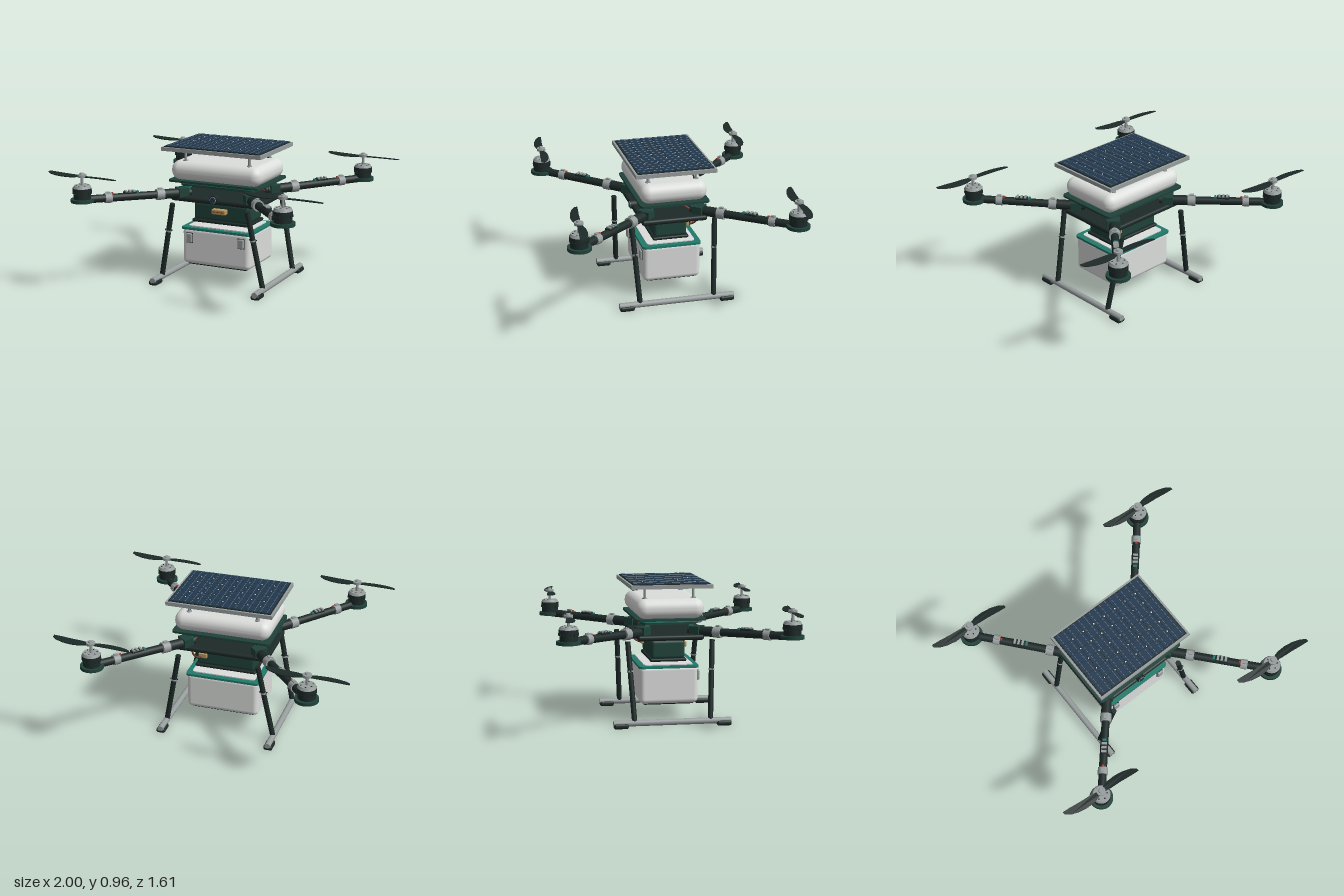
import * as THREE from 'three';
import { RoundedBoxGeometry } from 'three/addons/geometries/RoundedBoxGeometry.js';

const mat = (name, color) => Object.assign(new THREE.MeshStandardMaterial({ color }), { name });

export function createModel() {
  const carbon = mat('carbon black', 0x1d2a28), green = mat('dark green', 0x20423a);
  const teal = mat('teal', 0x217a6b), white = mat('shell white', 0xdcdedc);
  const grey = mat('metal grey', 0x979d9d), tan = mat('brass tan', 0xb8955c);
  const navy = mat('cell navy', 0x22384e), red = mat('signal red', 0xb8342c);
  const copper = mat('cable brown', 0x74392c);
  const model = new THREE.Group();
  model.name = 'deliveryDrone';

  const V = (x, y, z) => new THREE.Vector3(x, y, z);
  const add = (parent, name, geo, m, x = 0, y = 0, z = 0) => {
    const mesh = new THREE.Mesh(geo, m);
    mesh.name = name;
    mesh.position.set(x, y, z);
    parent.add(mesh);
    return mesh;
  };
  const box = (p, name, m, w, h, d, x, y, z) => add(p, name, new THREE.BoxGeometry(w, h, d), m, x, y, z);
  const soft = (p, name, m, w, h, d, r, x, y, z) =>
    add(p, name, new RoundedBoxGeometry(w, h, d, 5, r), m, x, y, z);
  const disc = (p, name, m, r, h, x, y, z, r2 = r, n = 32) =>
    add(p, name, new THREE.CylinderGeometry(r2, r, h, n), m, x, y, z);
  const rod = (p, name, m, a, b, r, n = 20) => {
    const d = b.clone().sub(a), mid = a.clone().add(b).multiplyScalar(0.5);
    const mesh = add(p, name, new THREE.CylinderGeometry(r, r, d.length(), n), m, mid.x, mid.y, mid.z);
    mesh.quaternion.setFromUnitVectors(V(0, 1, 0), d.normalize());
    return mesh;
  };
  const cable = (name, m, pts, r) => add(model, name,
    new THREE.TubeGeometry(new THREE.CatmullRomCurve3(pts.map(p => V(...p))), 24, r, 8), m);
  const group = (name, parent = model) => {
    const g = new THREE.Group();
    g.name = name;
    parent.add(g);
    return g;
  };
  // Flat plate with rounded plan corners, centred on y
  const plate = (p, name, m, w, h, d, r, y) => {
    const s = new THREE.Shape(), a = w / 2, b = d / 2;
    s.moveTo(-a + r, -b).lineTo(a - r, -b).quadraticCurveTo(a, -b, a, -b + r);
    s.lineTo(a, b - r).quadraticCurveTo(a, b, a - r, b).lineTo(-a + r, b);
    s.quadraticCurveTo(-a, b, -a, b - r).lineTo(-a, -b + r).quadraticCurveTo(-a, -b, -a + r, -b);
    const g = new THREE.ExtrudeGeometry(s, { depth: h, bevelEnabled: false, curveSegments: 6 });
    return add(p, name, g.rotateX(-Math.PI / 2).translate(0, -h / 2, 0), m, 0, y, 0);
  };

  // Fuselage shell and decks
  const body = group('fuselage');
  soft(body, 'upperShell', white, 0.675, 0.135, 0.46, 0.064, 0, 0.785, 0);
  plate(body, 'upperDeck', green, 0.69, 0.014, 0.475, 0.03, 0.715);
  plate(body, 'tealSeam', teal, 0.56, 0.006, 0.375, 0.03, 0.694);
  plate(body, 'middleDeck', green, 0.55, 0.016, 0.365, 0.03, 0.683);
  soft(body, 'lowerDeck', carbon, 0.66, 0.036, 0.45, 0.016, 0, 0.592, 0);

  // Nose camera
  const cam = group('noseCamera');
  rod(cam, 'cameraBarrel', carbon, V(0, 0.61, 0.19), V(0, 0.61, 0.235), 0.03);
  rod(cam, 'cameraRing', grey, V(0, 0.61, 0.22), V(0, 0.61, 0.238), 0.023);
  rod(cam, 'cameraLens', navy, V(0, 0.61, 0.23), V(0, 0.61, 0.242), 0.019);

  // Battery with tray and connectors
  const battery = group('battery');
  soft(battery, 'batteryPack', green, 0.415, 0.13, 0.23, 0.022, 0, 0.495, 0);
  soft(battery, 'batteryTray', carbon, 0.435, 0.022, 0.25, 0.01, 0, 0.425, 0);
  soft(battery, 'frontConnector', tan, 0.105, 0.036, 0.045, 0.007, 0, 0.507, 0.133);
  for (const x of [-0.03, 0, 0.03]) box(battery, 'connectorSlot', copper, 0.02, 0.006, 0.004, x, 0.507, 0.156);
  soft(battery, 'rearConnector', tan, 0.06, 0.036, 0.022, 0.006, 0.16, 0.507, -0.125);
  cable('powerCable', copper, [[0.17, 0.495, -0.13], [0.19, 0.51, -0.165], [0.21, 0.55, -0.19], [0.21, 0.6, -0.185]], 0.007);
  cable('deckCable', copper, [[0.18, 0.665, -0.07], [0.2, 0.645, -0.1], [0.22, 0.62, -0.14]], 0.006);

  // Cargo box
  const cargo = group('cargoBox');
  soft(cargo, 'cargoShell', white, 0.51, 0.26, 0.4, 0.032, 0, 0.26, 0);
  plate(cargo, 'cargoRim', teal, 0.525, 0.016, 0.41, 0.03, 0.383);
  plate(cargo, 'cargoLid', white, 0.45, 0.008, 0.335, 0.025, 0.394);
  soft(cargo, 'cargoSkid', carbon, 0.45, 0.026, 0.35, 0.012, 0, 0.134, 0);
  for (const s of [-1, 1]) {
    soft(cargo, 'cargoLatch', grey, 0.044, 0.066, 0.022, 0.008, s * 0.195, 0.318, 0.206);
    box(cargo, 'latchEdge', carbon, 0.05, 0.072, 0.006, s * 0.195, 0.318, 0.2);
  }

  // Solar panel on four posts
  const solar = group('solarPanel');
  box(solar, 'panelFrame', grey, 0.74, 0.026, 0.55, 0, 0.94, 0);
  box(solar, 'panelBacking', carbon, 0.71, 0.006, 0.52, 0, 0.955, 0);
  const cols = 8, rows = 6, cw = 0.7 / cols, cd = 0.51 / rows;
  const hx = cw / 2 - 0.0015, hz = cd / 2 - 0.0015, c = 0.009;
  const cellShape = new THREE.Shape([[-hx + c, -hz], [hx - c, -hz], [hx, -hz + c], [hx, hz - c],
    [hx - c, hz], [-hx + c, hz], [-hx, hz - c], [-hx, -hz + c]].map(p => new THREE.Vector2(...p)));
  const cellGeo = new THREE.ExtrudeGeometry(cellShape, { depth: 0.004, bevelEnabled: false }).rotateX(-Math.PI / 2);
  const gem = new THREE.CylinderGeometry(0.006, 0.006, 0.003, 4);
  for (let i = 0; i < cols; i++) for (let j = 0; j < rows; j++) {
    const x = (i + 0.5) * cw - 0.35, z = (j + 0.5) * cd - 0.255;
    add(solar, 'solarCell', cellGeo, navy, x, 0.958, z);
    if (i && j) add(solar, 'cellContact', gem, white, x - cw / 2, 0.9595, z - cd / 2);
  }
  for (let i = 0; i < cols; i++) for (const o of [-0.25, 0.25])
    box(solar, 'busbar', grey, 0.0014, 0.001, 0.51, (i + 0.5 + o) * cw - 0.35, 0.9623, 0);
  for (const sx of [-1, 1]) for (const sz of [-1, 1]) {
    rod(solar, 'panelPost', grey, V(sx * 0.24, 0.83, sz * 0.165), V(sx * 0.24, 0.93, sz * 0.165), 0.009);
    disc(solar, 'postFoot', grey, 0.018, 0.01, sx * 0.24, 0.851, sz * 0.165);
  }
  box(solar, 'junctionBox', carbon, 0.065, 0.018, 0.045, 0, 0.908, -0.165);
  box(solar, 'junctionMount', carbon, 0.03, 0.016, 0.02, 0, 0.921, -0.165);
  cable('panelCable', carbon, [[0.02, 0.908, -0.165], [0.14, 0.922, -0.165], [0.2, 0.91, -0.16],
    [0.235, 0.87, -0.15], [0.24, 0.84, -0.15]], 0.005);

  // Two-bladed propeller outline, symmetric about the hub
  const half = [[0.02, -0.016], [0.07, -0.03], [0.13, -0.031], [0.19, -0.021], [0.245, -0.001],
    [0.276, 0.023], [0.276, 0.042], [0.22, 0.037], [0.14, 0.027], [0.07, 0.022], [0.02, 0.014]];
  const outline = half.concat(half.map(([x, z]) => [-x, -z]));
  const bladeGeo = new THREE.ExtrudeGeometry(new THREE.Shape(outline.map(([x, z]) => new THREE.Vector2(x, -z))),
    { depth: 0.005, bevelEnabled: false }).rotateX(-Math.PI / 2);
  // Pitch the blades by their side of the hub
  const bp = bladeGeo.attributes.position;
  for (let i = 0; i < bp.count; i++) {
    const side = THREE.MathUtils.clamp(bp.getX(i) / 0.08, -1, 1);
    bp.setY(i, bp.getY(i) + bp.getZ(i) * side * 0.14);
  }
  bladeGeo.computeVertexNormals();

  // Arms, motors and propellers
  for (const sx of [-1, 1]) for (const sz of [-1, 1]) {
    const arm = group(`${sz > 0 ? 'front' : 'rear'}${sx > 0 ? 'Left' : 'Right'}Arm`);
    const a = V(sx * 0.218, 0.625, sz * 0.14), b = V(sx * 0.725, 0.645, sz * 0.725);
    const at = t => a.clone().lerp(b, t), yaw = Math.atan2(b.x - a.x, b.z - a.z);
    rod(arm, 'armTube', carbon, a, at(0.97), 0.027);
    rod(arm, 'armSleeve', carbon, at(0.02), at(0.27), 0.034);
    for (const [t, r, w] of [[0.29, 0.038, 0.035], [0.77, 0.034, 0.03]]) {
      rod(arm, 'armCollar', grey, at(t - w), at(t + w), r);
      const q = at(t);
      box(arm, 'collarLug', grey, 0.02, 0.016, 0.03, q.x, q.y + r, q.z).rotation.y = yaw;
    }
    box(arm, 'rootClamp', green, 0.09, 0.06, 0.07, sx * 0.26, 0.633, sz * 0.185).rotation.y = yaw;
    box(arm, 'rootTab', teal, 0.03, 0.035, 0.03, sx * 0.235, 0.65, sz * 0.15);
    // Speed controller and status light
    const e = at(0.57), l = at(0.73);
    soft(arm, 'controllerBase', carbon, 0.042, 0.014, 0.085, 0.005, e.x, e.y + 0.029, e.z).rotation.y = yaw;
    for (const t of [0.535, 0.57, 0.605]) {
      const f = at(t);
      box(arm, 'controllerFin', grey, 0.036, 0.012, 0.015, f.x, f.y + 0.037, f.z).rotation.y = yaw;
    }
    const k = at(0.5);
    box(arm, 'controllerPlug', teal, 0.026, 0.012, 0.016, k.x, k.y + 0.03, k.z).rotation.y = yaw;
    disc(arm, 'statusLight', red, 0.01, 0.014, l.x, l.y + 0.029, l.z, 0.007, 12);
    // Motor
    const { x, z } = b;
    disc(arm, 'motorMount', green, 0.078, 0.022, x, 0.641, z);
    disc(arm, 'motorStator', carbon, 0.058, 0.05, x, 0.677, z);
    disc(arm, 'motorBell', carbon, 0.063, 0.026, x, 0.713, z);
    for (let i = 0; i < 14; i++) {
      const w = i / 14 * Math.PI * 2;
      box(arm, 'bellTooth', carbon, 0.012, 0.016, 0.008, x + Math.sin(w) * 0.06, 0.696, z + Math.cos(w) * 0.06).rotation.y = w;
    }
    disc(arm, 'bellCap', grey, 0.062, 0.018, x, 0.735, z, 0.053);
    for (let i = 0; i < 6; i++) {
      const w = i / 6 * Math.PI * 2;
      disc(arm, 'bellVent', carbon, 0.005, 0.002, x + Math.sin(w) * 0.039, 0.7445, z + Math.cos(w) * 0.039, 0.005, 10);
    }
    disc(arm, 'motorShaft', grey, 0.01, 0.06, x, 0.77, z, 0.01, 16);
    add(arm, 'propeller', bladeGeo, carbon, x, 0.8, z);
    disc(arm, 'propellerHub', grey, 0.03, 0.018, x, 0.808, z);
    disc(arm, 'hubNut', grey, 0.017, 0.012, x, 0.822, z, 0.013, 16);

    // Landing leg with clip
    const top = V(sx * 0.28, 0.57, sz * 0.288), foot = V(sx * 0.383, 0.045, sz * 0.258);
    const leg = group('landingLeg');
    rod(leg, 'legTube', carbon, top, foot, 0.018);
    const clip = top.clone().lerp(foot, 0.365);
    rod(leg, 'legClip', grey, clip, top.clone().lerp(foot, 0.385), 0.021);
    rod(leg, 'clipPin', carbon, clip.clone().add(V(-0.027, 0, 0)), clip.clone().add(V(0.027, 0, 0)), 0.005, 10);
    soft(leg, 'skidFoot', carbon, 0.062, 0.034, 0.1, 0.014, sx * 0.386, 0.017, sz * 0.35);
  }

  // Landing skids
  for (const s of [-1, 1])
    rod(model, 'landingSkid', grey, V(s * 0.385, 0.034, -0.4), V(s * 0.385, 0.034, 0.4), 0.021);

  return model;
}
